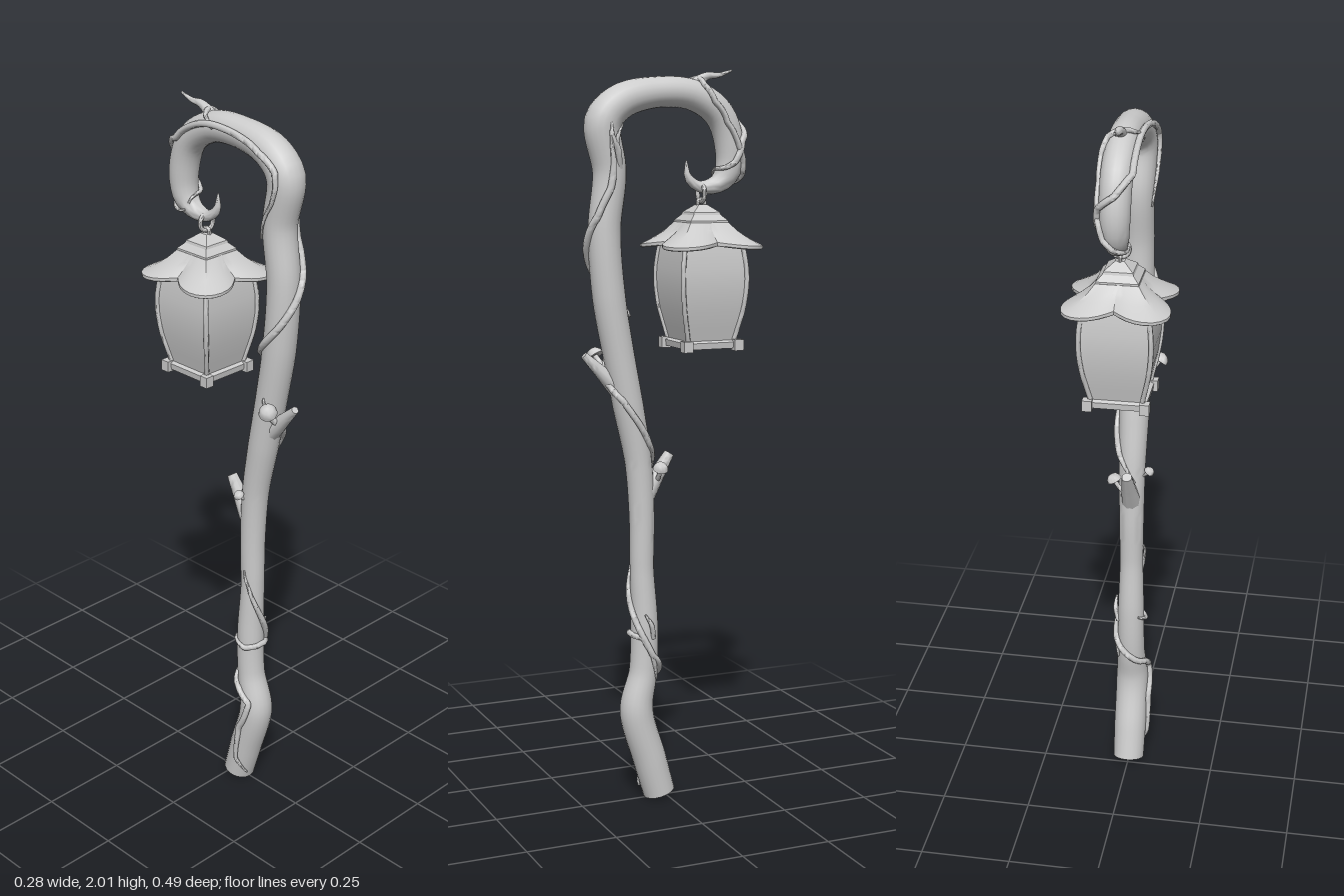
import * as THREE from 'three';
import { toCreasedNormals } from 'three/addons/utils/BufferGeometryUtils.js';

const V = (x, y, z) => new THREE.Vector3(x, y, z);
const material = new THREE.MeshStandardMaterial({ color: 0xcccccc });

function add(parent, name, geometry, crease = 0.7) {
  const mesh = new THREE.Mesh(toCreasedNormals(geometry, crease), material);
  mesh.name = name;
  parent.add(mesh);
  return mesh;
}

// Skin over a list of equal-length rings, closed at both ends
function loft(rings) {
  const n = rings[0].length, pos = [], idx = [];
  rings.forEach(r => r.forEach(p => pos.push(p.x, p.y, p.z)));
  for (let i = 0; i < rings.length - 1; i++) {
    for (let j = 0; j < n; j++) {
      const k = (j + 1) % n, a = i * n + j, b = i * n + k;
      idx.push(a, b, b + n, a, b + n, a + n);
    }
  }
  [0, rings.length - 1].forEach((r, end) => {
    const c = pos.length / 3, mid = V(0, 0, 0);
    rings[r].forEach(p => mid.addScaledVector(p, 1 / n));
    pos.push(mid.x, mid.y, mid.z);
    for (let j = 0; j < n; j++) {
      const a = r * n + j, b = r * n + (j + 1) % n;
      if (end) idx.push(c, a, b); else idx.push(c, b, a);
    }
  });
  const g = new THREE.BufferGeometry();
  g.setAttribute('position', new THREE.Float32BufferAttribute(pos, 3));
  g.setIndex(idx);
  return g;
}

function sampleList(list, f) {
  const i = Math.min(Math.floor(f), list.length - 2);
  return THREE.MathUtils.lerp(list[i], list[i + 1], f - i);
}

// Tube whose radius follows a list of values along its points
function sweep(points, radii, segments, sides) {
  const curve = new THREE.CatmullRomCurve3(points);
  const fr = curve.computeFrenetFrames(segments, false);
  const rings = [];
  for (let i = 0; i <= segments; i++) {
    const t = curve.getUtoTmapping(i / segments);
    const p = curve.getPoint(t), r = sampleList(radii, t * (radii.length - 1));
    rings.push(Array.from({ length: sides }, (_, j) => {
      const a = j / sides * Math.PI * 2;
      return p.clone().addScaledVector(fr.normals[i], r * Math.cos(a))
        .addScaledVector(fr.binormals[i], r * Math.sin(a));
    }));
  }
  return loft(rings);
}

// Staff centre line: height, depth, radius
const staff = [
  [0.005, 0.02, 0.045], [0.1, 0.047, 0.047], [0.25, 0.087, 0.047], [0.36, 0.067, 0.039],
  [0.5, 0.063, 0.038], [0.65, 0.07, 0.033], [0.8, 0.07, 0.035], [0.95, 0.08, 0.037],
  [1.1, 0.108, 0.042], [1.25, 0.137, 0.043], [1.4, 0.163, 0.045], [1.58, 0.175, 0.044],
  [1.73, 0.16, 0.045], [1.86, 0.178, 0.05], [1.912, 0.13, 0.047], [1.938, 0.03, 0.041],
  [1.932, -0.08, 0.041], [1.88, -0.16, 0.041], [1.79, -0.19, 0.04], [1.725, -0.182, 0.035],
  [1.695, -0.15, 0.025], [1.69, -0.1, 0.015], [1.715, -0.067, 0.011], [1.76, -0.062, 0.002],
];
const staffPoints = staff.map(([y, z]) => V(0, y, z));
const staffRadii = staff.map(s => s[2]);
const staffCurve = new THREE.CatmullRomCurve3(staffPoints);

// Point on the bark: staff index, angle (0 = outer side, 90 = +x)
function onBark(f, degrees, lift) {
  const t = f / (staff.length - 1), a = THREE.MathUtils.degToRad(degrees);
  const p = staffCurve.getPoint(t), d = staffCurve.getTangent(t);
  const r = sampleList(staffRadii, f) + lift;
  return p.add(V(Math.sin(a) * r, -d.z * Math.cos(a) * r, d.y * Math.cos(a) * r));
}

function vine(parent, keys, radius) {
  const points = [];
  for (let k = 0; k < keys.length - 1; k++) {
    for (let s = 0; s < 4; s++) {
      const u = s / 4, [a, b] = [keys[k], keys[k + 1]];
      points.push(onBark(a[0] + (b[0] - a[0]) * u, a[1] + (b[1] - a[1]) * u, radius * 0.5));
    }
  }
  points.push(onBark(...keys.at(-1), 0));
  add(parent, 'vine', sweep(points, [0.003, radius, radius, radius, radius, 0.003], points.length * 4, 7), 1.2);
}

function mushroom(parent, from, to, size) {
  const g = new THREE.Group();
  g.name = 'mushroom';
  add(g, 'mushroomStem', sweep([from, from.clone().lerp(to, 0.5).add(V(0, -0.005, 0)), to],
    [size * 0.35, size * 0.3, size * 0.3], 6, 8), 1.2);
  const profile = [[0, -0.05], [0.7, -0.2], [1, -0.15], [0.92, 0.25], [0.6, 0.65], [0, 0.85]];
  const cap = add(g, 'mushroomCap', new THREE.LatheGeometry(
    profile.map(([x, y]) => new THREE.Vector2(x * size, y * size)), 14), 0.9);
  cap.position.copy(to);
  cap.quaternion.setFromUnitVectors(V(0, 1, 0), to.clone().sub(from).add(V(0, 0.02, 0)).normalize());
  parent.add(g);
}

// Ring around the lantern axis, radius and height given per angle
function lanternRing(radius, height) {
  return Array.from({ length: 48 }, (_, j) => {
    const a = j / 48 * Math.PI * 2, r = radius(a);
    return V(Math.sin(a) * r, height(a), Math.cos(a) * r);
  });
}
const square = a => 1 / Math.max(Math.abs(Math.cos(a)), Math.abs(Math.sin(a)));
const squareRing = (half, y) => lanternRing(a => half * square(a), () => y);

function createLantern() {
  const g = new THREE.Group();
  g.name = 'lantern';
  const body = [[0.066, 1.27], [0.075, 1.31], [0.086, 1.36], [0.093, 1.42], [0.093, 1.47], [0.087, 1.52], [0.082, 1.55]];
  add(g, 'lanternBody', loft(body.map(([h, y]) => squareRing(h, y))));

  // Roof flares from a square neck to a four-lobed rim
  const lobe = a => Math.pow(Math.abs(Math.sin(2 * a)), 1.2);
  const roofRing = (k, drop) => lanternRing(
    a => THREE.MathUtils.lerp(0.056 * square(a), 0.105 + 0.068 * lobe(a), k),
    a => 1.595 - 0.05 * Math.pow(k, 0.75) - 0.011 * lobe(a) * k - drop);
  add(g, 'lanternRoof', loft([roofRing(0.5, 0.016), roofRing(0.96, 0.012), roofRing(1, 0.008),
    roofRing(1, 0), roofRing(0.75, 0), roofRing(0.5, 0), roofRing(0.25, 0), roofRing(0, 0)]), 0.45);
  add(g, 'lanternNeck', loft([squareRing(0.056, 1.585), squareRing(0.055, 1.6),
    squareRing(0.04, 1.615), squareRing(0.038, 1.622), squareRing(0.012, 1.642)]), 0.3);

  // Base plate with corner blocks and curved corner posts
  add(g, 'lanternBase', loft([squareRing(0.076, 1.257), squareRing(0.078, 1.274), squareRing(0.066, 1.28)]), 0.3);
  for (const sx of [-1, 1]) {
    for (const sz of [-1, 1]) {
      add(g, 'lanternFoot', new THREE.BoxGeometry(0.026, 0.03, 0.026)).position.set(sx * 0.075, 1.266, sz * 0.075);
      add(g, 'lanternPost', sweep(body.map(([h, y]) => V(sx * h, y, sz * h)), [0.007, 0.007], 16, 6), 1.2);
    }
  }

  add(g, 'hangingRing', new THREE.TorusGeometry(0.023, 0.006, 8, 24), 1.2).position.y = 1.672;
  const eye = add(g, 'ringMount', new THREE.TorusGeometry(0.011, 0.005, 8, 16), 1.2);
  eye.position.y = 1.646;
  eye.rotation.y = Math.PI / 2;
  g.position.z = -0.106;
  return g;
}

export function createModel() {
  const model = new THREE.Group();
  model.name = 'lanternStaff';
  add(model, 'staff', sweep(staffPoints, staffRadii, 150, 20));

  // Side branches and small twigs
  const twigs = [
    ['forkBranch', [[0, 0.85, 0.065], [0, 0.91, 0.025], [0, 0.968, -0.012]], [0.03, 0.021, 0.014]],
    ['stubBranch', [[0, 1.14, 0.125], [-0.005, 1.2, 0.185], [-0.01, 1.247, 0.232]], [0.03, 0.018, 0.01]],
    ['topTwig', [[0, 1.95, -0.07], [0, 1.982, -0.12], [0, 1.985, -0.155], [0, 1.998, -0.195]], [0.018, 0.011, 0.007, 0.003]],
    ['upperTwig', [[0.035, 1.74, 0.145], [0.048, 1.79, 0.155], [0.052, 1.82, 0.17], [0.048, 1.86, 0.172]], [0.008, 0.009, 0.007, 0.003]],
    ['upperTwigFork', [[0.05, 1.8, 0.16], [0.055, 1.83, 0.155], [0.052, 1.855, 0.142]], [0.007, 0.005, 0.002]],
    ['lowTwig', [[0.035, 0.46, 0.05], [0.045, 0.5, 0.06], [0.044, 0.53, 0.078]], [0.007, 0.007, 0.003]],
  ];
  for (const [name, pts, radii] of twigs) {
    add(model, name, sweep(pts.map(p => V(...p)), radii, 14, 10), 0.9);
  }

  // Vines, as pairs of staff index and angle around it
  vine(model, [[0.3, -25], [0.8, -75], [1.6, -100], [2.3, -70], [2.7, -110], [3.1, -200], [3.4, -260], [3.8, -300], [4.3, -350], [4.9, -410], [5.4, -450]], 0.009);
  vine(model, [[2.9, 130], [3.4, 100], [3.75, 60], [3.8, 0], [3.75, -70], [3.9, -140]], 0.008);
  vine(model, [[6.8, 200], [7.3, 130], [7.8, 90], [8.2, 55], [8.5, 10], [8.8, -45], [9.1, -80]], 0.009);
  vine(model, [[9.6, -190], [10, -120], [10.4, -60], [10.8, -5], [11.2, 45], [11.7, 75], [12.2, 85], [12.8, 95]], 0.01);
  vine(model, [[11.8, -120], [12.5, -85], [13.2, -70], [14, -80], [15, -75], [16, -70], [17, -65], [17.5, -5], [17.8, 60], [18.5, 95], [19.1, 150], [19.7, 230]], 0.009);
  vine(model, [[15.6, -85], [15.9, -40], [16, 0], [16.1, 45], [16.5, 85], [17.2, 100], [18, 75], [18.7, 40], [19.2, -30], [19.8, -90]], 0.008);

  mushroom(model, V(-0.02, 1.2, 0.155), V(-0.06, 1.24, 0.182), 0.025);
  mushroom(model, V(0.015, 0.9, 0.03), V(0.043, 0.935, 0.032), 0.021);
  mushroom(model, V(-0.02, 0.93, 0.07), V(-0.05, 0.95, 0.065), 0.015);

  model.add(createLantern());
  return model;
}
